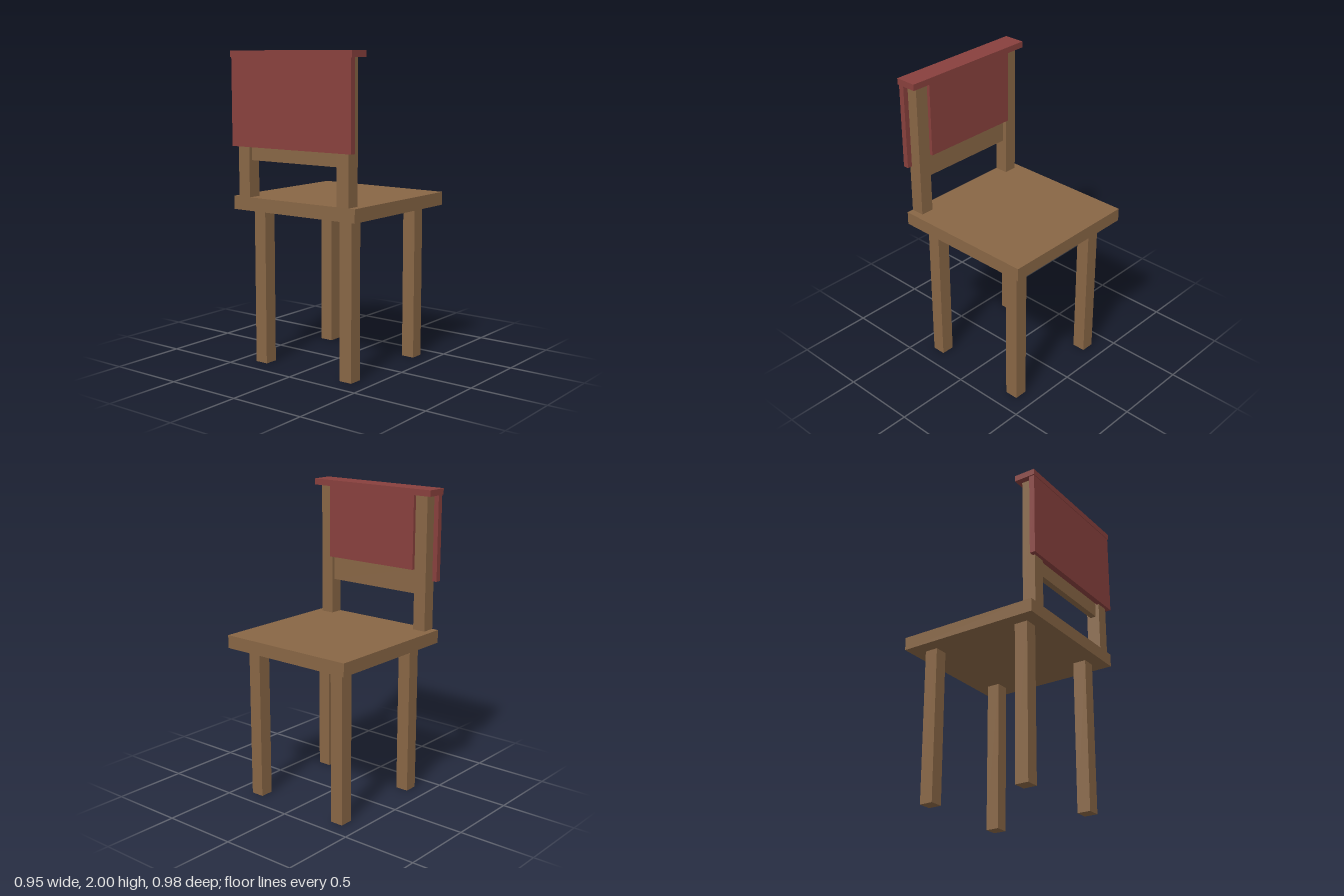
import * as THREE from 'three';

export function createModel() {
  const wood = new THREE.MeshStandardMaterial({ color: 0x886645 });
  wood.name = 'brown wood';
  const red = new THREE.MeshStandardMaterial({ color: 0x88403d });
  red.name = 'dark red';

  const chair = new THREE.Group();
  chair.name = 'chair';

  // Box given by its extents along each axis
  function box(name, material, [x0, x1], [y0, y1], [z0, z1]) {
    const mesh = new THREE.Mesh(new THREE.BoxGeometry(x1 - x0, y1 - y0, z1 - z0), material);
    mesh.position.set((x0 + x1) / 2, (y0 + y1) / 2, (z0 + z1) / 2);
    mesh.name = name;
    chair.add(mesh);
  }

  box('seat', wood, [-0.475, 0.475], [1.005, 1.09], [-0.49, 0.465]);

  // Legs and back posts, mirrored left and right
  for (const [side, s] of [['left', 1], ['right', -1]]) {
    const legX = [s * 0.34 - 0.044, s * 0.34 + 0.044];
    box(side + 'FrontLeg', wood, legX, [0, 1.005], [0.286, 0.375]);
    box(side + 'RearLeg', wood, legX, [0, 1.005], [-0.395, -0.306]);
    box(side + 'BackPost', wood, [s * 0.386 - 0.044, s * 0.386 + 0.044], [1.09, 1.96], [0.376, 0.465]);
  }

  // Backrest: lower rail, inner cushion, outer panel and top cap
  box('backRail', wood, [-0.342, 0.342], [1.322, 1.485], [0.4, 0.44]);
  box('innerPanel', red, [-0.342, 0.342], [1.485, 1.96], [0.354, 0.45]);
  box('outerPanel', red, [-0.463, 0.463], [1.408, 1.96], [0.45, 0.487]);
  box('topCap', red, [-0.471, 0.471], [1.96, 2], [0.348, 0.49]);

  return chair;
}
